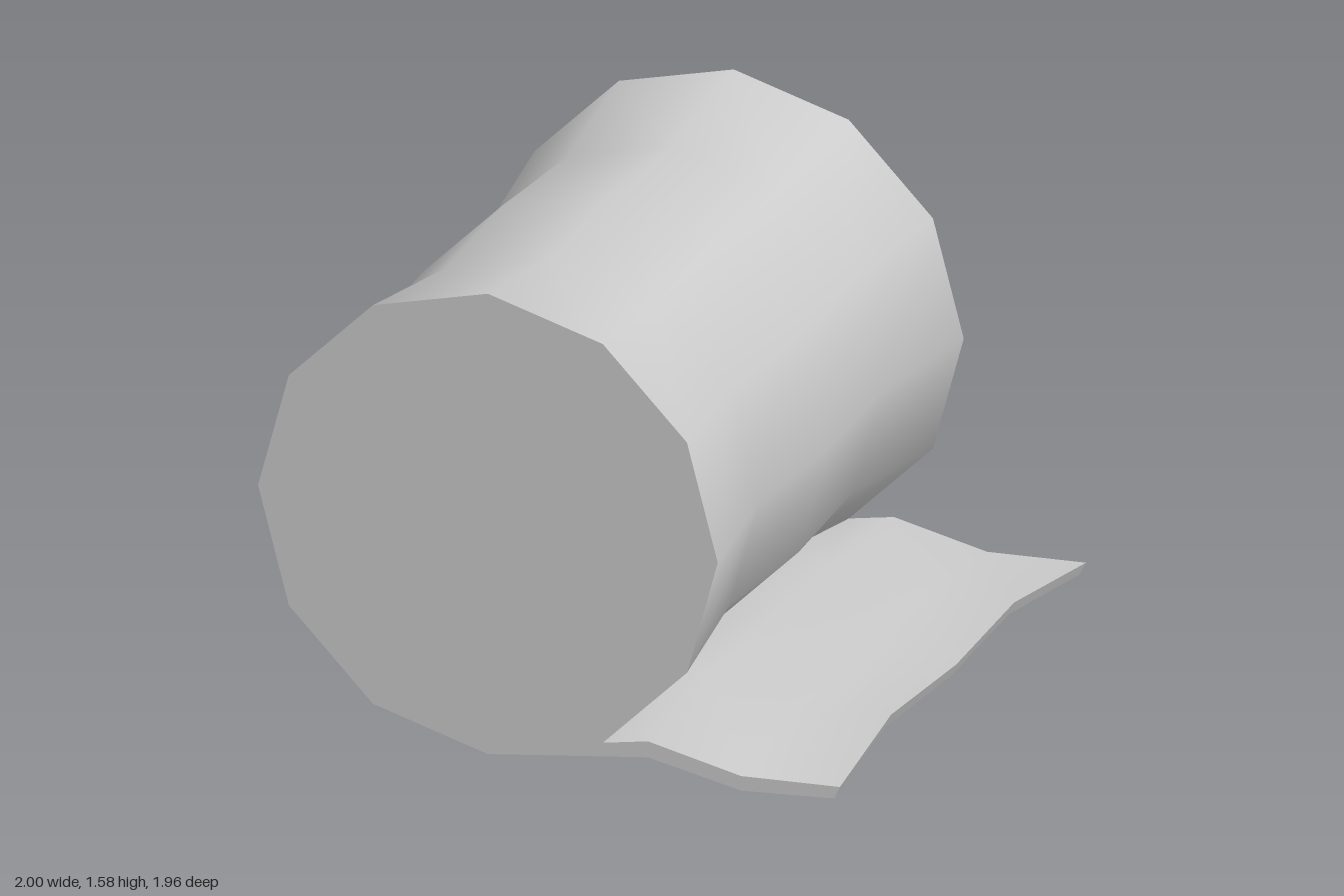
import * as THREE from 'three';
import { toCreasedNormals } from 'three/addons/utils/BufferGeometryUtils.js';

const CX = -0.21, CY = 0.793, R = 0.79, LENGTH = 1.96;

// Narrowing of the roll along its length: full at the ends, pinched at the quarters
function pinch(z) {
  const t = Math.round(Math.abs(z) / (LENGTH / 4));
  return [0.943, 0.911, 1][t];
}

export function createModel() {
  const group = new THREE.Group();
  group.name = 'rolledMat';

  // Cross-section: twelve-sided roll whose outer layer runs out into a loose flap
  const points = [];
  for (let i = 0; i < 12; i++) {
    const a = -Math.PI / 3 + (i * Math.PI) / 6;
    points.push(new THREE.Vector2(CX + R * Math.cos(a), CY + R * Math.sin(a)));
  }
  const flap = [[0.34, 0.085], [0.66, 0.025], [0.98, 0.052], [1, 0.095], [0.66, 0.075], [0.34, 0.14]];
  points.push(...flap.map(([x, y]) => new THREE.Vector2(x, y)));

  const geometry = new THREE.ExtrudeGeometry(new THREE.Shape(points), {
    depth: LENGTH, steps: 4, bevelEnabled: false,
  });
  geometry.translate(0, 0, -LENGTH / 2);

  // Pinch the roll toward its axis and lift the flap with it
  const p = geometry.attributes.position;
  for (let i = 0; i < p.count; i++) {
    const x = p.getX(i), y = p.getY(i), s = pinch(p.getZ(i));
    if (x > 0.25 && y < 0.2) {
      const tip = Math.max(0, x - 0.66) / 0.34;
      p.setXY(i, x - (1 - s) * 0.4 * tip, y + (1 - s) * 0.56);
    } else {
      p.setXY(i, CX + (x - CX) * s, CY + (y - CY) * s);
    }
  }

  const mat = new THREE.Mesh(
    toCreasedNormals(geometry, 0.7),
    new THREE.MeshStandardMaterial({ color: 0xcccccc }),
  );
  mat.name = 'rollWithFlap';
  group.add(mat);
  return group;
}
